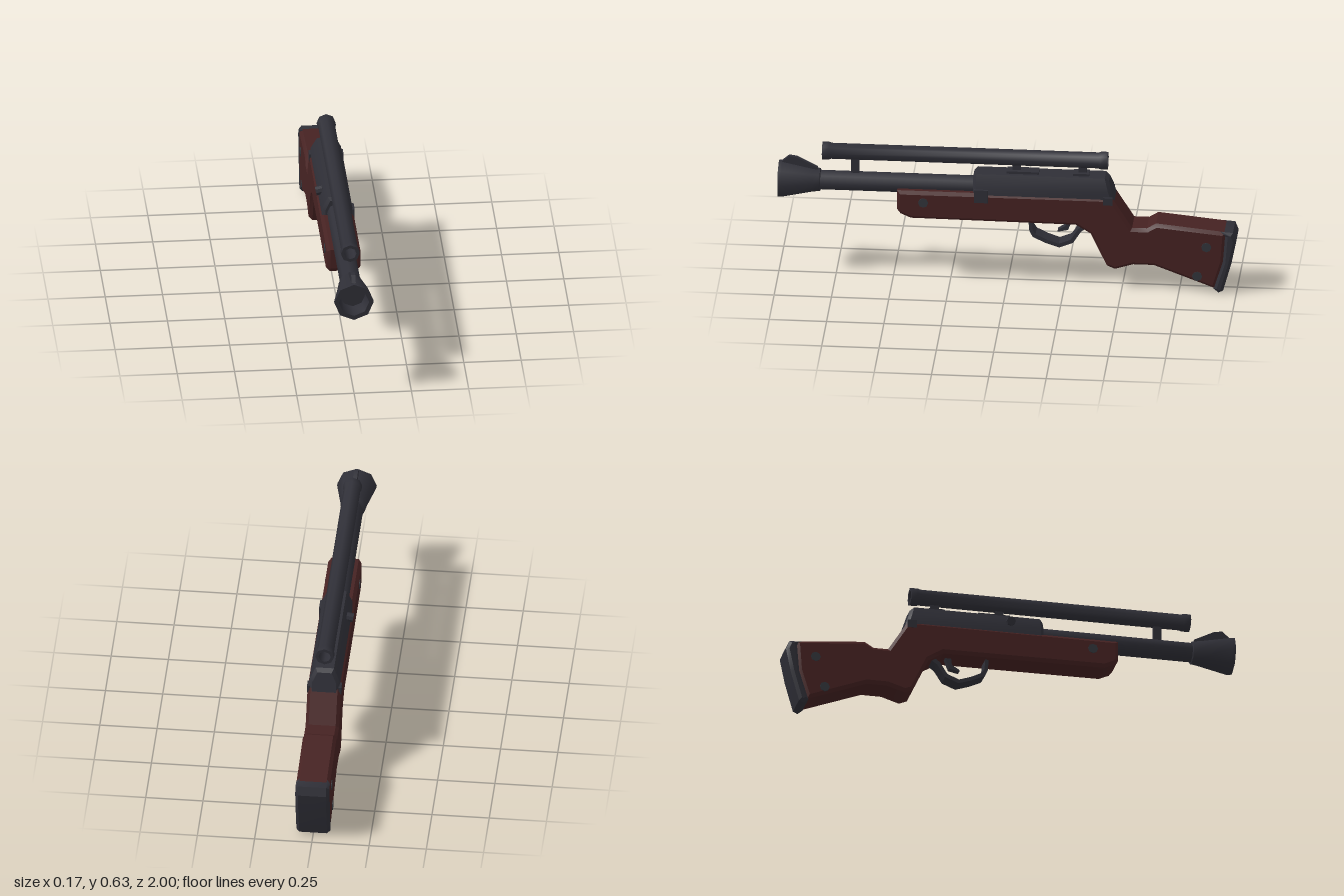
import * as THREE from 'three';
import { toCreasedNormals } from 'three/addons/utils/BufferGeometryUtils.js';

const mat = (name, color) => {
  const m = new THREE.MeshStandardMaterial({ color });
  m.name = name;
  return m;
};

export function createModel() {
  const group = new THREE.Group();
  const metal = mat('gunmetal', 0x2f2f37);
  const wood = mat('darkWood', 0x462222);
  const steel = mat('screwSteel', 0x32353b);

  const add = (name, geometry, material, crease = 0.5) => {
    const mesh = new THREE.Mesh(toCreasedNormals(geometry, crease), material);
    mesh.name = name;
    group.add(mesh);
    return mesh;
  };
  const shapeOf = (pts) => new THREE.Shape(pts.map(([a, b]) => new THREE.Vector2(a, b)));

  // Side outline in (z, y), extruded across x with chamfered edges
  const slab = (pts, halfWidth, bevel = 0) => {
    const g = new THREE.ExtrudeGeometry(shapeOf(pts), {
      depth: 2 * (halfWidth - bevel), bevelEnabled: bevel > 0, bevelSize: bevel,
      bevelThickness: bevel, bevelOffset: -bevel, bevelSegments: 1,
    });
    return g.translate(0, 0, bevel - halfWidth).rotateY(-Math.PI / 2);
  };
  // Eight-sided turned part along z, profile in (radius, z)
  const turned = (pts, y) => new THREE.LatheGeometry(
    pts.map(([r, z]) => new THREE.Vector2(r, z)), 8).rotateX(Math.PI / 2).translate(0, y, 0);
  const box = (w, h, d, x, y, z) => new THREE.BoxGeometry(w, h, d).translate(x, y, z);

  // Wooden stock with fore-end, grip and butt
  add('stock', slab([
    [0.48, 0.435], [0.48, 0.345], [0.465, 0.325], [0.42, 0.305], [-0.30, 0.30],
    [-0.365, 0.26], [-0.435, 0.11], [-0.47, 0.095], [-0.55, 0.12], [-0.64, 0.12],
    [-0.905, 0.02], [-0.945, 0.15], [-0.955, 0.29], [-0.65, 0.32], [-0.61, 0.295],
    [-0.545, 0.295], [-0.46, 0.43], [-0.40, 0.435],
  ], 0.073, 0.014), wood);

  // Butt pad
  add('buttPad', slab([
    [-0.93, 0.292], [-0.985, 0.288], [-1, 0.25], [-0.978, 0.14], [-0.942, 0.01],
    [-0.922, 0.0], [-0.90, 0.018], [-0.94, 0.15], [-0.95, 0.27],
  ], 0.074, 0.013), metal);

  // Receiver: chamfered section with a raked rear face
  const receiver = new THREE.ExtrudeGeometry(shapeOf([
    [-0.066, 0.38], [0.066, 0.38], [0.066, 0.462], [0.04, 0.517], [-0.04, 0.517], [-0.066, 0.462],
  ]), { depth: 0.56, bevelSize: 0.014, bevelThickness: 0.014, bevelOffset: -0.014, bevelSegments: 1 });
  receiver.translate(0, 0, -0.424);
  const p = receiver.attributes.position;
  for (let i = 0; i < p.count; i++) {
    if (p.getZ(i) < -0.2) p.setZ(i, p.getZ(i) - (0.517 - p.getY(i)) * 0.3);
  }
  add('receiver', receiver, metal);

  // Barrel and flared hollow muzzle
  add('barrel', turned([[0.045, 0.1], [0.045, 0.84]], 0.445), metal, 0.9);
  add('muzzle', turned([
    [0.04, 0.815], [0.053, 0.82], [0.057, 0.85], [0.086, 0.985], [0.086, 1],
    [0.066, 1], [0.055, 0.93], [0, 0.93],
  ], 0.445), metal, 0.9);
  add('frontSight', slab([
    [0.83, 0.48], [0.98, 0.5], [0.985, 0.53], [0.955, 0.556], [0.92, 0.551], [0.83, 0.505],
  ], 0.009), metal);

  // Open scope tube with a lip at each end
  add('scopeTube', turned([
    [0.027, -0.435], [0.041, -0.435], [0.041, -0.405], [0.037, -0.395], [0.037, 0.77],
    [0.041, 0.78], [0.041, 0.81], [0.027, 0.81], [0.027, -0.435],
  ], 0.585), metal, 0.9);
  for (const z of [0.667, -0.038, -0.325]) {
    add('scopeMount', box(0.016, 0.09, 0.036, 0, 0.517, z), metal);
  }
  for (const [z, d] of [[-0.065, 0.14], [-0.32, 0.07]]) {
    add('mountBase', box(0.05, 0.016, d, 0, 0.52, z), metal);
  }

  // Receiver brackets and cocking knob
  add('frontBracket', box(0.012, 0.06, 0.06, 0.07, 0.425, 0.113), metal);
  for (const s of [-1, 1]) add('rearBracket', box(0.012, 0.035, 0.04, s * 0.069, 0.422, -0.44), metal);
  add('cockingKnob', new THREE.CylinderGeometry(0.02, 0.02, 0.03, 8)
    .rotateZ(Math.PI / 2 + 0.2).translate(-0.067, 0.48, 0), metal);

  // Trigger guard: a closed strip following outer and inner outlines
  add('triggerGuard', slab([
    [-0.09, 0.31], [-0.095, 0.25], [-0.11, 0.222], [-0.165, 0.196], [-0.225, 0.176],
    [-0.285, 0.2], [-0.32, 0.255], [-0.36, 0.285], [-0.35, 0.3], [-0.308, 0.268],
    [-0.275, 0.215], [-0.223, 0.194], [-0.17, 0.212], [-0.122, 0.236], [-0.11, 0.255], [-0.106, 0.31],
  ], 0.035), metal);
  add('trigger', slab([
    [-0.255, 0.31], [-0.25, 0.27], [-0.217, 0.25], [-0.217, 0.242], [-0.262, 0.252], [-0.285, 0.31],
  ], 0.014), metal);

  // Screw heads on both sides of the stock
  for (const s of [-1, 1]) {
    for (const [y, z] of [[0.385, 0.365], [0.22, -0.87], [0.08, -0.83]]) {
      add('screw', new THREE.CylinderGeometry(0.022, 0.022, 0.006, 8)
        .rotateZ(Math.PI / 2).translate(s * 0.073, y, z), steel);
    }
  }
  return group;
}
